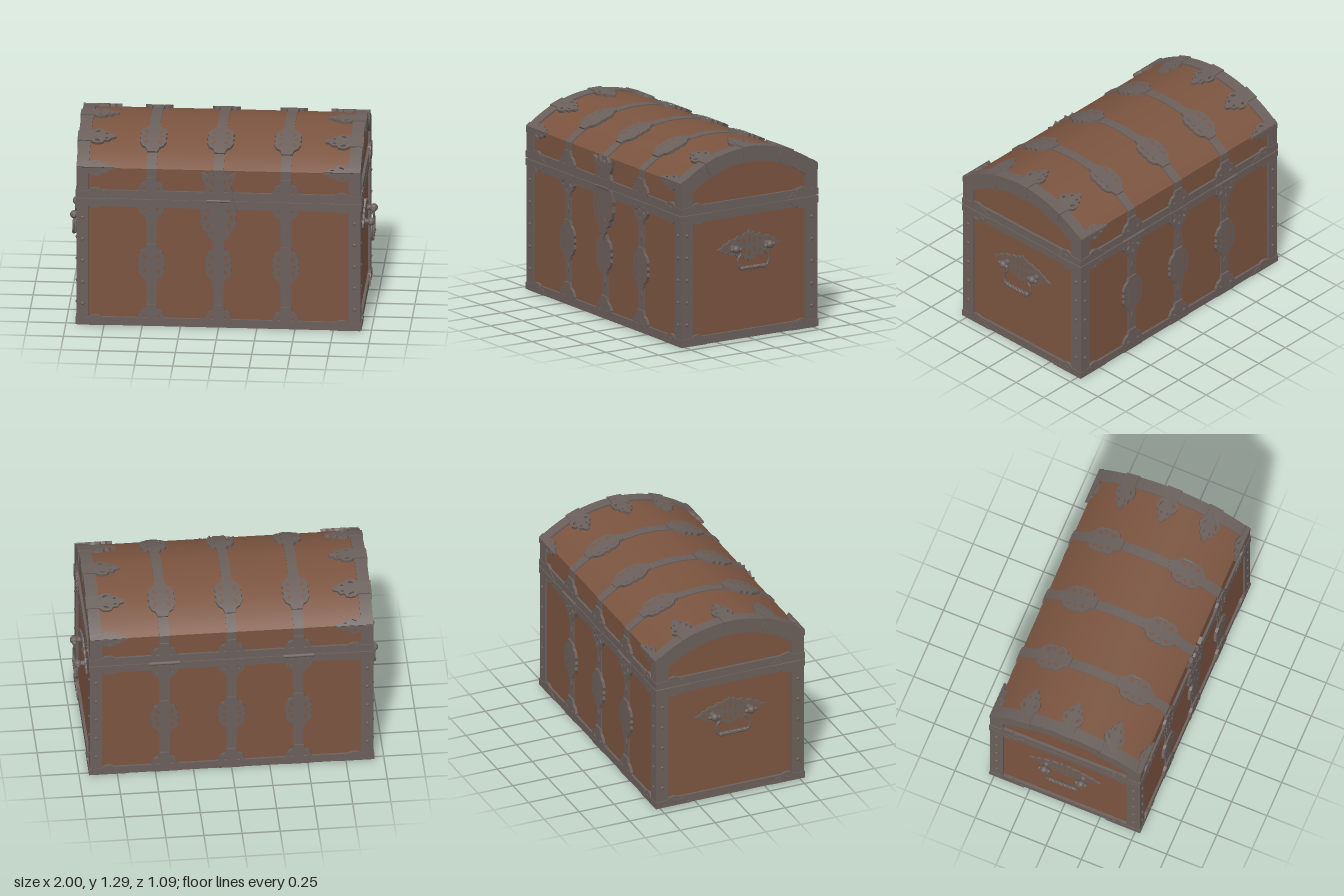
import * as THREE from 'three';
import { toCreasedNormals } from 'three/addons/utils/BufferGeometryUtils.js';

const mat = (name, color) => Object.assign(new THREE.MeshStandardMaterial({ color }), { name });
const wood = mat('brown wood', 0x7b5440);
const iron = mat('dull iron', 0x6a5f5b);

// Overall dimensions: half width, half depth, seam height, lid arc
const HX = 0.93, HZ = 0.53, SEAM = 0.885, CORNER = 1.1, TOP = 1.285;
const arc = (hz, yc, yt) => {
  const h = yt - yc, r = (hz * hz + h * h) / (2 * h);
  return { r, cy: yt - r };
};
const LID = arc(HZ, CORNER, TOP);
const V_MAX = LID.r * Math.asin(HZ / LID.r);

function add(parent, name, geo, material = iron, x = 0, y = 0, z = 0) {
  const mesh = new THREE.Mesh(geo, material);
  mesh.name = name;
  mesh.position.set(x, y, z);
  parent.add(mesh);
  return mesh;
}

// Box given by its limits on each axis
function slab(parent, name, material, x0, x1, y0, y1, z0, z1) {
  return add(parent, name, new THREE.BoxGeometry(x1 - x0, y1 - y0, z1 - z0), material,
    (x0 + x1) / 2, (y0 + y1) / 2, (z0 + z1) / 2);
}

// Cross-section extruded along x
function alongX(parent, name, material, shape, x0, x1) {
  const geo = new THREE.ExtrudeGeometry(shape, { depth: x1 - x0, bevelEnabled: false, curveSegments: 20 });
  geo.rotateY(Math.PI / 2).translate(x0, 0, 0);
  return add(parent, name, toCreasedNormals(geo, 0.35), material);
}

function lidShape(hz, yc, yt, y0, Kind = THREE.Shape) {
  const { r, cy } = arc(hz, yc, yt), a = Math.acos(hz / r);
  const s = new Kind();
  s.moveTo(-hz, y0);
  s.lineTo(hz, y0);
  s.lineTo(hz, yc);
  s.absarc(0, cy, r, a, Math.PI - a, false);
  s.lineTo(-hz, y0);
  return s;
}
const rect = (hz, y0, y1, Kind = THREE.Shape) =>
  new Kind([[-hz, y0], [hz, y0], [hz, y1], [-hz, y1]].map(p => new THREE.Vector2(...p)));

// Maps from plate space (across, up, outward) onto the chest's surfaces
const faceMap = f => (u, v, w) => [f * u, v, f * (0.515 + w)];
const endMap = (u, v, w) => [0.918 + w, v, -u];
const lidMap = (u, v, w) => {
  const r = LID.r - 0.012 + w, a = v / LID.r;
  return [u, LID.cy + r * Math.cos(a), -r * Math.sin(a)];
};
const keystoneMap = a => (u, v, w) => {
  const r = LID.r + v, c = Math.cos(a), s = Math.sin(a);
  return endMap(s * r + c * u, LID.cy + c * r - s * u, w);
};
const underMap = (u, v, w) => [u, 0.004 - w, v];

function plate(parent, name, shape, map, depth = 0.019) {
  const geo = new THREE.ExtrudeGeometry(shape, { depth, bevelEnabled: false, curveSegments: 5 });
  const p = geo.attributes.position;
  for (let i = 0; i < p.count; i++) p.setXYZ(i, ...map(p.getX(i), p.getY(i), p.getZ(i)));
  geo.computeVertexNormals();
  return add(parent, name, geo);
}

const poly = pts => new THREE.Shape(pts.map(([x, y]) => new THREE.Vector2(x, y)));
const hole = (shape, x, y, rx, ry, rot = 0) =>
  shape.holes.push(new THREE.Path().absellipse(x, y, rx, ry, 0, Math.PI * 2, true, rot));

// Symmetric pierced ornament from its right-hand outline, moved to (x, y); f = -1 turns it over
function ornament(right, holes, x = 0, y = 0, f = 1) {
  const left = right.filter(p => p[0] > 0).map(([a, b]) => [-a, b]).reverse();
  const shape = poly([...right, ...left].map(([a, b]) => [x + a, y + f * b]));
  for (const [a, b, rx, ry, rot = 0] of holes)
    for (const m of a > 0 ? [1, -1] : [1]) hole(shape, x + m * a, y + f * b, rx, ry, m * f * rot);
  return shape;
}

const upper = [[0.033, 0.135], [0.045, 0.1], [0.07, 0.085], [0.088, 0.045], [0.08, 0.02], [0.09, 0]];
const cartouche = (x, y) => ornament(
  [...upper, ...upper.slice(0, -1).reverse().map(([a, b]) => [a, -b])],
  [[0, 0.085, 0.009, 0.02], [0.045, 0.05, 0.01, 0.02, -0.5], [0.055, 0, 0.014, 0.008],
    [0.045, -0.05, 0.01, 0.02, 0.5], [0, -0.085, 0.009, 0.02], [0, 0, 0.013, 0.013]], x, y);
const strapEnd = (x, y, f) => ornament(
  [[0.033, 0.15], [0.042, 0.115], [0.07, 0.1], [0.088, 0.065], [0.08, 0.03], [0.085, 0]],
  [[0, 0.1, 0.009, 0.02], [0.045, 0.065, 0.01, 0.018, -0.5], [0.05, 0.022, 0.015, 0.007],
    [0, 0.045, 0.012, 0.012]], x, y, f);

// Leaf-ended tongue running inward from u = d * edge; side = 0 whole, +1 / -1 upper / lower half
function tongue(edge, d, y, side = 0, k = 1) {
  const half = [[0, 0.045], [0.085, 0.05], [0.1, 0.064], [0.13, 0.07], [0.16, 0.062], [0.172, 0.04],
    [0.198, 0.044], [0.215, 0.02], [0.245, 0.012]];
  const at = s => half.map(([a, b]) => [d * (edge - a), y + s * b * k]);
  const shape = poly(side
    ? [[d * edge, y], ...at(side), [d * (edge - 0.245), y]]
    : [...at(1), ...at(-1).reverse()]);
  for (const s of side ? [side] : [1, -1]) {
    hole(shape, d * (edge - 0.125), y + s * 0.042 * k, 0.018, 0.009 * k, -d * s * 0.4);
    hole(shape, d * (edge - 0.185), y + s * 0.022 * k, 0.012, 0.006 * k);
  }
  return shape;
}

// Bail handle hung from two knobs on the +x end
function makeHandle() {
  const g = new THREE.Group();
  g.name = 'handle';
  plate(g, 'handlePlate', ornament(
    [[0, 0.73], [0.015, 0.705], [0.035, 0.71], [0.05, 0.69], [0.09, 0.695], [0.11, 0.675], [0.15, 0.675],
      [0.17, 0.655], [0.2, 0.65], [0.21, 0.635], [0.25, 0.62], [0.21, 0.605], [0.2, 0.59], [0.17, 0.585],
      [0.15, 0.565], [0.11, 0.57], [0.09, 0.55], [0.05, 0.555], [0.035, 0.53], [0.015, 0.535], [0, 0.515]],
    [[0, 0.665, 0.01, 0.026], [0.038, 0.655, 0.01, 0.022, -0.3], [0.08, 0.662, 0.018, 0.009, -0.3],
      [0.185, 0.62, 0.02, 0.01], [0.155, 0.648, 0.014, 0.007, -0.5], [0.155, 0.592, 0.014, 0.007, 0.5],
      [0.038, 0.59, 0.01, 0.022, 0.3], [0, 0.575, 0.01, 0.026], [0.08, 0.58, 0.016, 0.008, 0.4]]), endMap, 0.012);
  for (const s of [1, -1]) {
    const stem = add(g, 'knobStem', new THREE.CylinderGeometry(0.013, 0.022, 0.05, 12), iron, 0.945, 0.62, s * 0.13);
    stem.rotation.z = -Math.PI / 2;
    add(g, 'knob', new THREE.SphereGeometry(0.027, 16, 12), iron, 0.972, 0.62, s * 0.13);
    add(g, 'knobFinial', new THREE.SphereGeometry(0.013, 10, 8), iron, 0.972, 0.62, s * 0.161);
    add(g, 'knobCollar', new THREE.SphereGeometry(0.016, 10, 8), iron, 0.972, 0.615, s * 0.1);
    const path = [[0.13, 0.62], [0.1, 0.612], [0.094, 0.585], [0.113, 0.562], [0.118, 0.515], [0.106, 0.491], [0.08, 0.485]];
    const curve = new THREE.CatmullRomCurve3(path.map(([z, y]) => new THREE.Vector3(0.975, y, s * z)));
    add(g, 'bailArm', new THREE.TubeGeometry(curve, 28, 0.008, 8));
    add(g, 'gripCollar', new THREE.SphereGeometry(0.016, 10, 8), iron, 0.975, 0.485, s * 0.085);
    // One strand of the twisted grip
    const strand = Array.from({ length: 41 }, (_, i) => {
      const a = i / 40 * Math.PI * 6;
      return new THREE.Vector3(0.975 + s * 0.006 * Math.cos(a), 0.485 + s * 0.006 * Math.sin(a), -0.085 + i / 40 * 0.17);
    });
    add(g, 'gripStrand', new THREE.TubeGeometry(new THREE.CatmullRomCurve3(strand), 60, 0.009, 8));
  }
  return g;
}

// Everything on the +x end; the other end is the same turned around
function makeEnd() {
  const g = new THREE.Group();
  g.name = 'chestEnd';
  const base = rect(HZ, 0.006, SEAM);
  base.holes.push(rect(0.44, 0.06, 0.83, THREE.Path));
  alongX(g, 'bodyEndFrame', iron, base, 0.85, HX);
  const lid = lidShape(HZ, CORNER, TOP, 0.892);
  lid.holes.push(lidShape(0.44, 1.035, 1.185, 0.945, THREE.Path));
  alongX(g, 'lidEndFrame', iron, lid, 0.85, HX);

  // Tongues over the lid and their shield-shaped returns
  for (const a of [-0.355, 0, 0.355]) {
    plate(g, 'lidTongue', tongue(HX, 1, a * LID.r), lidMap);
    const shield = new THREE.Shape().moveTo(0.05, 0.006);
    shield.lineTo(-0.05, 0.006);
    shield.lineTo(-0.05, -0.055);
    shield.absarc(0, -0.055, 0.05, Math.PI, Math.PI * 2, false);
    plate(g, 'lidShield', shield, keystoneMap(a), 0.018);
  }
  for (const f of [1, -1]) {
    const face = faceMap(f);
    plate(g, 'lidCornerTongueTop', tongue(HX, 1, -f * V_MAX, f, 0.8), lidMap);
    plate(g, 'lidCornerTongueFace', tongue(HX, f, CORNER, -1, 0.85), face);
    // Seam and foot fittings on the long face and on the end
    for (const [y, side] of [[SEAM, -1], [0.892, 1], [0.006, 1]]) {
      plate(g, 'cornerFitting', tongue(0.935, f, y, side, side * y > 0.5 ? 1 : 0.98), face);
      plate(g, 'cornerFitting', tongue(0.533, f, y, side), endMap, 0.018);
    }
    // Plates under the corners
    plate(g, 'cornerUnderPlate', poly([[0, 0], [-0.2, 0], [-0.18, 0.06], [-0.12, 0.09], [-0.09, 0.12],
      [-0.06, 0.18], [0, 0.2]].map(([x, z]) => [0.925 + x, f * (0.525 - z)])), underMap, 0.004);
    for (let i = 0; i < 5; i++) {
      const y = 0.15 + 0.15 * i, ball = new THREE.SphereGeometry(0.012, 10, 8);
      add(g, 'endStud', ball, iron, HX, y, f * 0.485).scale.x = 0.7;
      add(g, 'faceStud', ball, iron, 0.89, y, f * HZ).scale.z = 0.7;
    }
  }
  g.add(makeHandle());
  return g;
}

// Rails, straps and ornaments on a long face
function makeFace(f) {
  const g = new THREE.Group();
  g.name = f > 0 ? 'frontFace' : 'backFace';
  const map = faceMap(1);
  for (const [y0, y1] of [[0.006, 0.06], [0.83, SEAM], [0.892, 0.945]])
    slab(g, 'rail', iron, -0.86, 0.86, y0, y1, 0.5, HZ);
  for (const x of [-0.44, 0, 0.44]) {
    slab(g, 'bodyStrap', iron, x - 0.033, x + 0.033, 0.05, 0.84, 0.5, 0.523);
    plate(g, 'strapOrnament', cartouche(x, 0.44), map);
    plate(g, 'strapFoot', strapEnd(x, 0.006, 1), map);
    for (const y of [0.25, 0.65])
      plate(g, 'strapLozenge', poly([[x, y - 0.035], [x + 0.014, y], [x, y + 0.035], [x - 0.014, y]]), map, 0.013);
    if (f > 0 && x === 0) continue;
    plate(g, 'strapHead', strapEnd(x, SEAM, -1), map);
    plate(g, 'lidStrapFoot', strapEnd(x, 0.892, 1), map);
    if (f < 0 && x !== 0) {
      const hinge = add(g, 'hinge', new THREE.CylinderGeometry(0.012, 0.012, 0.2, 12), iron, x, 0.888, 0.535);
      hinge.rotation.z = Math.PI / 2;
    }
  }
  if (f > 0) {
    // Lock plate below the seam, crowned hasp above
    const lock = ornament([[0.1, 0.885], [0.11, 0.86], [0.12, 0.81], [0.112, 0.78], [0.118, 0.74], [0.1, 0.69],
      [0.075, 0.67], [0.065, 0.635], [0.04, 0.62], [0.035, 0.59], [0.015, 0.565], [0, 0.535]],
    [[0.07, 0.83, 0.012, 0.022, -0.4], [0.085, 0.77, 0.012, 0.018], [0.07, 0.715, 0.01, 0.02, 0.5],
      [0.03, 0.67, 0.009, 0.022, 0.3], [0, 0.61, 0.009, 0.024], [0, 0.76, 0.012, 0.026]]);
    plate(g, 'lockPlate', lock, map, 0.025);
    const hasp = ornament([[0, 1.07], [0.025, 1.055], [0.045, 1.1], [0.07, 1.065], [0.115, 1.085], [0.1, 1.03],
      [0.08, 0.99], [0.095, 0.95], [0.09, 0.892]],
    [[0, 1.02, 0.009, 0.024], [0.04, 1.02, 0.009, 0.024, -0.3], [0.075, 1.035, 0.008, 0.016, -0.6],
      [0.05, 0.96, 0.012, 0.016], [0, 0.95, 0.012, 0.022]]);
    plate(g, 'hasp', hasp, map, 0.025);
    const pin = add(g, 'haspPin', new THREE.CylinderGeometry(0.01, 0.01, 0.15, 12), iron, 0, 0.888, 0.535);
    pin.rotation.z = Math.PI / 2;
  }
  g.rotation.y = f > 0 ? 0 : Math.PI;
  return g;
}

export function createModel() {
  const chest = new THREE.Group();
  chest.name = 'chest';

  // Wooden body, floor and domed lid
  slab(chest, 'woodenBody', wood, -0.912, 0.912, 0.008, 0.88, -0.515, 0.515);
  slab(chest, 'floor', wood, -0.927, 0.927, 0.003, 0.01, -0.527, 0.527);
  slab(chest, 'seamLiner', iron, -0.924, 0.924, 0.87, 0.9, -0.523, 0.523);
  alongX(chest, 'woodenLid', wood, lidShape(0.515, 1.094, TOP - 0.012, 0.895), -0.912, 0.912);

  // Straps over the lid with pierced ornaments
  for (const x of [-0.44, 0, 0.44]) {
    alongX(chest, 'lidStrap', iron, lidShape(0.523, 1.098, TOP - 0.005, 0.9), x - 0.033, x + 0.033);
    for (const s of [1, -1])
      plate(chest, 'lidOrnament', cartouche(x, s * 0.3), lidMap);
  }

  chest.add(makeFace(1), makeFace(-1));
  const right = makeEnd(), left = makeEnd();
  left.rotation.y = Math.PI;
  chest.add(right, left);
  return chest;
}
